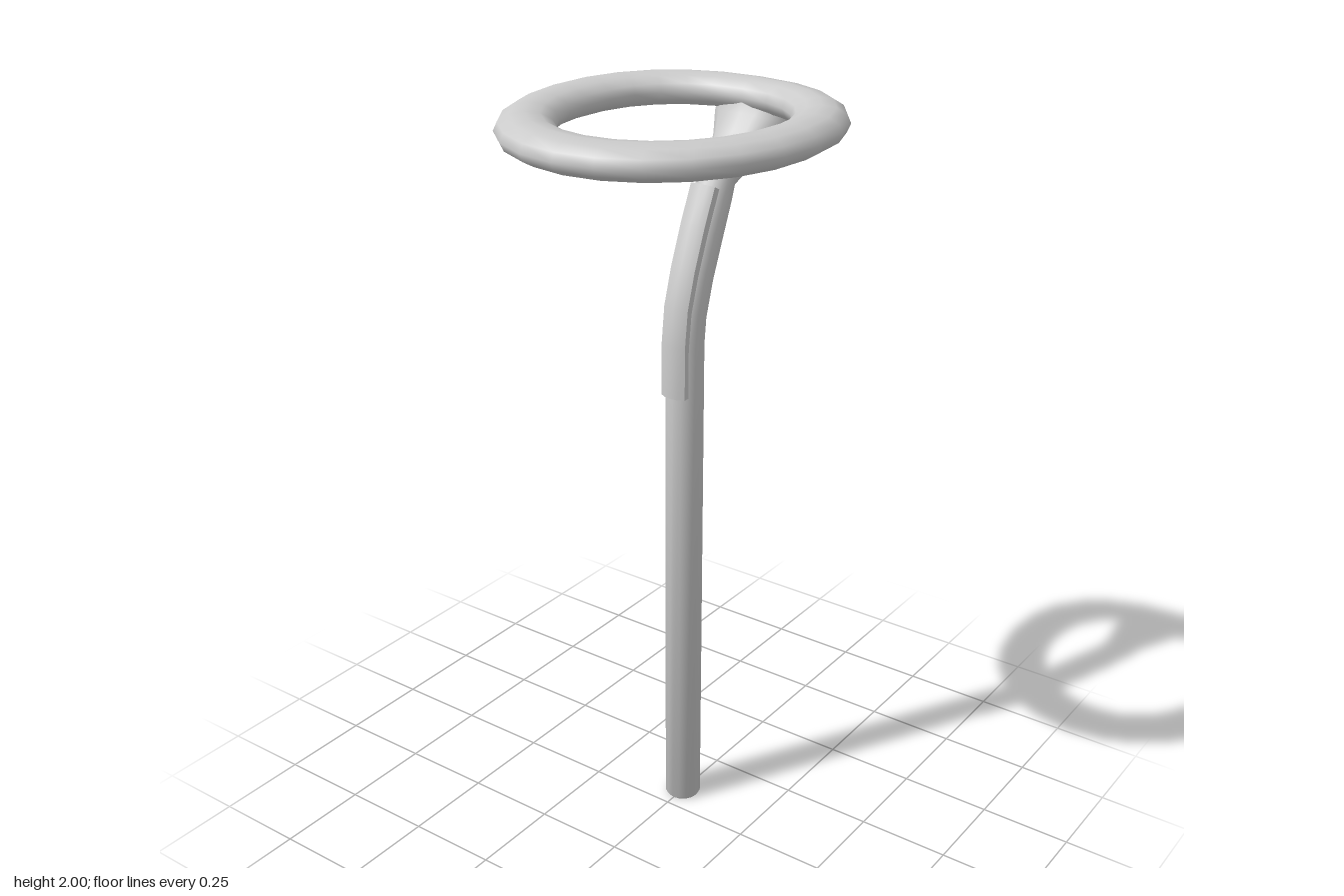
import * as THREE from 'three';
import { toCreasedNormals } from 'three/addons/utils/BufferGeometryUtils.js';

// Skins a list of equal-sized cross-sections; closed joins last to first, otherwise ends are capped.
function loft(sections, closed, crease) {
  const m = sections.length, n = sections[0].length;
  const pos = sections.flat().flatMap((p) => [p.x, p.y, p.z]);
  const index = [];
  for (let i = 0; i < (closed ? m : m - 1); i++) {
    for (let j = 0; j < n; j++) {
      const k = (j + 1) % n, r = i * n, s = ((i + 1) % m) * n;
      index.push(r + j, s + j, r + k, s + j, s + k, r + k);
    }
  }
  if (!closed) {
    const top = (m - 1) * n;
    for (let j = 1; j < n - 1; j++) {
      index.push(0, j, j + 1, top, top + j + 1, top + j);
    }
  }
  const g = new THREE.BufferGeometry();
  g.setAttribute('position', new THREE.Float32BufferAttribute(pos, 3));
  g.setIndex(index);
  return toCreasedNormals(g, crease);
}

// Elliptical section between a front and a back point [z, y], with half-width w.
function oval([fz, fy], [bz, by], w, sides = 16) {
  return Array.from({ length: sides }, (_, j) => {
    const t = (j / sides) * Math.PI * 2, s = Math.sin(t) / 2;
    return new THREE.Vector3(w * Math.cos(t), (fy + by) / 2 + s * (fy - by), (fz + bz) / 2 + s * (fz - bz));
  });
}

// Point on the slightly egg-shaped outline of the ring, squarer at the back.
function outline(t, halfX, front, back) {
  const c = Math.cos(t), s = Math.sin(t), p = s > 0 ? 0.88 : 1;
  const pow = (v) => Math.sign(v) * Math.abs(v) ** p;
  return [halfX * pow(c), -0.025 - pow(s) * (s > 0 ? back : front)];
}

export function createModel() {
  const group = new THREE.Group();
  const material = new THREE.MeshStandardMaterial({ color: 0xcccccc });
  const add = (name, geometry) => {
    const mesh = new THREE.Mesh(geometry, material);
    mesh.name = name;
    group.add(mesh);
  };

  // Flattened ring, thinner at the back
  const ring = [];
  for (let i = 0; i < 24; i++) {
    const t = (i / 24) * Math.PI * 2;
    const [ox, oz] = outline(t, 0.4, 0.455, 0.408);
    const [ix, iz] = outline(t, 0.26, 0.3, 0.285);
    ring.push(Array.from({ length: 12 }, (_, j) => {
      const a = (j / 12) * Math.PI * 2, f = (1 + Math.cos(a)) / 2;
      return new THREE.Vector3(ix + (ox - ix) * f, 1.958 + 0.042 * Math.sin(a), iz + (oz - iz) * f);
    }));
  }
  add('ring', loft(ring, true, 1.2));

  // Straight handle, bent upper shaft and flared neck: front point, back point, half-width
  const shaft = [
    [[-0.03, 0], [-0.12, 0], 0.045],
    [[-0.025, 0.008], [-0.125, 0.008], 0.05],
    [[-0.025, 1.38], [-0.125, 1.38], 0.05],
    [[-0.037, 1.48], [-0.131, 1.44], 0.05],
    [[-0.065, 1.57], [-0.158, 1.53], 0.05],
    [[-0.105, 1.67], [-0.2, 1.63], 0.05],
    [[-0.15, 1.765], [-0.232, 1.71], 0.05],
    [[-0.178, 1.82], [-0.242, 1.75], 0.05],
    [[-0.23, 1.848], [-0.3, 1.777], 0.058],
    [[-0.275, 1.882], [-0.375, 1.808], 0.085],
    [[-0.305, 1.92], [-0.415, 1.88], 0.105],
    [[-0.32, 1.96], [-0.42, 1.955], 0.1],
  ];
  add('shaft', loft(shaft.map(([f, b, w]) => oval(f, b, w)), false, 0.8));

  // Raised strip along the front of the bend: front point [z, y] and lean
  const strip = [
    [-0.012, 1.25, 0], [-0.012, 1.39, 0.1], [-0.024, 1.49, 0.3],
    [-0.053, 1.585, 0.4], [-0.095, 1.69, 0.43], [-0.137, 1.78, 0.45],
  ];
  const profile = [[0.036, -0.034], [0.036, -0.012], [0.02, -0.003], [0, 0], [-0.02, -0.003], [-0.036, -0.012], [-0.036, -0.034]];
  add('frontStrip', loft(strip.map(([z, y, lean]) => profile.map(([x, d]) =>
    new THREE.Vector3(x, y + d * Math.sin(lean), z + d * Math.cos(lean)))), false, 0.7));

  return group;
}
